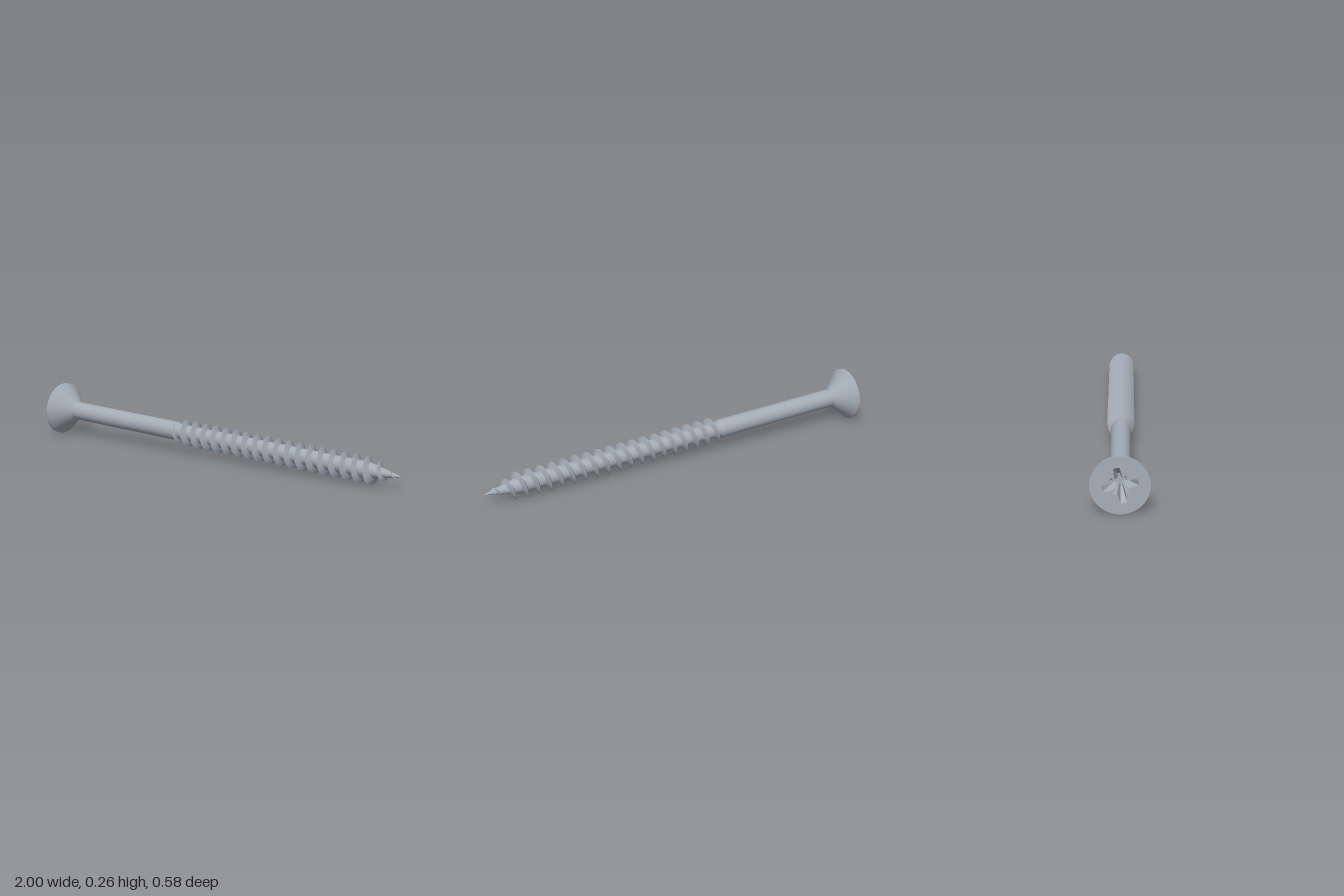
import * as THREE from 'three';

const PITCH = 0.0607, CREST = 0.066, CORE = 0.039, LENGTH = 2.017;

// Piecewise linear lookup through [position, value] pairs
function lerpTable(table, s) {
  if (s <= table[0][0]) return table[0][1];
  for (let i = 1; i < table.length; i++) {
    const [s0, v0] = table[i - 1], [s1, v1] = table[i];
    if (s <= s1) return v0 + (v1 - v0) * (s - s0) / (s1 - s0);
  }
  return table[table.length - 1][1];
}

const coreRadius = s => lerpTable([[0.75, 0.046], [0.77, CORE], [1.85, CORE], [LENGTH, 0.002]], s);
const crestRadius = s => lerpTable([[0.745, 0.044], [0.805, CREST], [1.865, CREST], [1.9, 0.05], [1.935, 0.033], [2.005, 0.005]], s);

// Grid of quads from a point function
function surface(nu, nv, point) {
  const positions = [], index = [];
  for (let i = 0; i <= nu; i++)
    for (let j = 0; j <= nv; j++) positions.push(...point(i, j));
  for (let i = 0; i < nu; i++)
    for (let j = 0; j < nv; j++) {
      const a = i * (nv + 1) + j, b = a + nv + 1;
      index.push(a, b, a + 1, b, b + 1, a + 1);
    }
  const g = new THREE.BufferGeometry();
  g.setAttribute('position', new THREE.Float32BufferAttribute(positions, 3));
  g.setIndex(index);
  g.computeVertexNormals();
  return g;
}

// Cross with small diagonal notches, as a closed outline
function recessOutline() {
  const arm = 0.08, half = 0.014, notch = 0.05, nh = 0.006;
  const quarter = [
    [arm, -half], [arm, half], [0.032, half + 0.004],
    [(notch + nh) * 0.707, (notch - nh) * 0.707],
    [(notch - nh) * 0.707, (notch + nh) * 0.707],
    [half + 0.004, 0.032],
  ];
  const points = [];
  for (let k = 0; k < 4; k++)
    for (const [x, y] of quarter)
      points.push(new THREE.Vector2(x, y).rotateAround(new THREE.Vector2(), k * Math.PI / 2 + 0.2));
  return points;
}

export function createModel() {
  const steel = new THREE.MeshStandardMaterial({ color: 0xa3abb5, side: THREE.DoubleSide });
  steel.name = 'steel';
  const screw = new THREE.Group();
  screw.name = 'screw';
  const add = (name, geometry) => {
    const mesh = new THREE.Mesh(geometry, steel);
    mesh.name = name;
    screw.add(mesh);
  };

  // Solid of revolution sections along local y, head face at 0
  const section = (name, s0, r0, s1, r1) => {
    const g = new THREE.CylinderGeometry(r1, r0, s1 - s0, 64, 1, true);
    add(name, g.translate(0, (s0 + s1) / 2, 0));
  };
  section('headRim', 0, 0.131, 0.01, 0.131);
  section('headCone', 0.01, 0.131, 0.1, 0.046);
  section('shank', 0.1, 0.046, 0.75, 0.046);
  section('shankChamfer', 0.75, 0.046, 0.77, CORE);
  section('threadCore', 0.77, CORE, 1.85, CORE);
  section('tip', 1.85, CORE, LENGTH, 0.002);

  // Head face with driver recess
  const outline = recessOutline();
  const face = new THREE.Shape().absarc(0, 0, 0.131, 0, Math.PI * 2);
  face.holes.push(new THREE.Path(outline));
  add('headFace', new THREE.ShapeGeometry(face, 32).rotateX(Math.PI / 2));

  const depth = 0.075, taper = 0.38, n = outline.length;
  const walls = surface(n, 1, (i, j) => {
    const p = outline[i % n], k = j ? taper : 1;
    return [p.x * k, j * depth, p.y * k];
  }).toNonIndexed();
  walls.computeVertexNormals();
  add('recessWalls', walls);
  const floor = new THREE.ShapeGeometry(new THREE.Shape(outline));
  add('recessFloor', floor.scale(taper, taper, 1).rotateX(Math.PI / 2).translate(0, depth, 0));

  // Right-handed helical thread: two flanks and a narrow crest
  const start = 0.745, end = 2.005, steps = Math.round((end - start) / PITCH * 48);
  const ridge = (i, side, atCrest) => {
    const s = start + (end - start) * i / steps;
    const a = (s - 0.81) / PITCH * Math.PI * 2;
    const root = coreRadius(s) - 0.003;
    const crest = Math.max(crestRadius(s), root);
    const r = atCrest ? crest : root;
    const y = s + side * (atCrest ? 0.001 : 0.001 + 0.45 * (crest - root));
    return [r * Math.cos(a), Math.min(y, LENGTH), -r * Math.sin(a)];
  };
  add('threadRearFlank', surface(steps, 1, (i, j) => ridge(i, -1, j === 1)));
  add('threadCrest', surface(steps, 1, (i, j) => ridge(i, j ? 1 : -1, true)));
  add('threadFrontFlank', surface(steps, 1, (i, j) => ridge(i, 1, j === 0)));

  // Lay the screw down so it rests on its head rim and thread
  const axis = new THREE.Vector3(0.9777, -0.0343, 0.207).normalize();
  const up = new THREE.Vector3(0, 1, 0).addScaledVector(axis, -axis.y).normalize();
  const sideways = new THREE.Vector3().crossVectors(up, axis);
  screw.quaternion.setFromRotationMatrix(new THREE.Matrix4().makeBasis(up, axis, sideways));
  screw.position.set(-0.972, 0.131, -0.16);

  const model = new THREE.Group();
  model.name = 'woodScrew';
  model.add(screw);
  return model;
}
